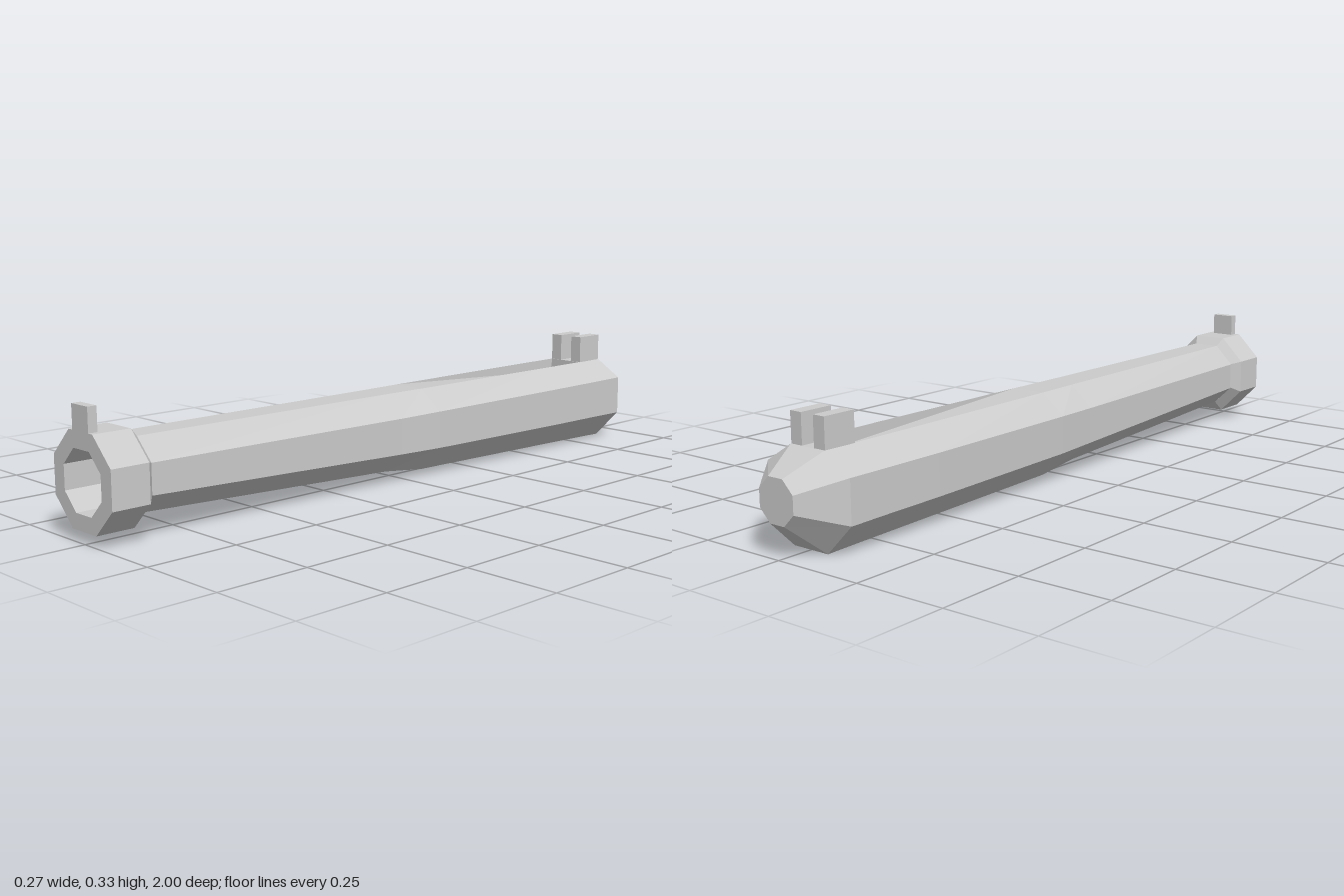
import * as THREE from 'three';

const grey = () => new THREE.MeshStandardMaterial({ color: 0xcccccc, flatShading: true, side: THREE.DoubleSide });

// Eight corners of one cross-section: half width, half flat width, four heights
function octagon([z, w, f, top, upper, lower, bottom]) {
  return [[f, top], [-f, top], [-w, upper], [-w, lower], [-f, bottom], [f, bottom], [w, lower], [w, upper]]
    .map(([x, y]) => [x, y, z]);
}

// Regular cross-section around a centre height
const regular = (z, r, cy, f = r * 0.414) => [z, r, f, cy + r, cy + f, cy - f, cy - r];

function meshFromQuads(name, quads) {
  const pos = [];
  for (const [a, b, c, d] of quads) pos.push(...a, ...b, ...c, ...a, ...c, ...d);
  const g = new THREE.BufferGeometry();
  g.setAttribute('position', new THREE.Float32BufferAttribute(pos, 3));
  g.computeVertexNormals();
  const mesh = new THREE.Mesh(g, grey());
  mesh.name = name;
  return mesh;
}

// Skin consecutive octagons; openTop(z) leaves the upper flat out
function loft(name, sections, openTop = () => false) {
  const rings = sections.map(octagon);
  const quads = [];
  for (let i = 0; i < rings.length - 1; i++) {
    for (let j = 0; j < 8; j++) {
      if (j === 0 && openTop(sections[i][0])) continue;
      const k = (j + 1) % 8;
      quads.push([rings[i][j], rings[i + 1][j], rings[i + 1][k], rings[i][k]]);
    }
  }
  return meshFromQuads(name, quads);
}

function box(name, w, h, d, x, y, z) {
  const mesh = new THREE.Mesh(new THREE.BoxGeometry(w, h, d), grey());
  mesh.position.set(x, y, z);
  mesh.name = name;
  return mesh;
}

export function createModel() {
  const group = new THREE.Group();
  group.name = 'barrel';

  // Muzzle collar with its bore, from the bore floor out and back over the rim
  group.add(loft('muzzle', [
    regular(0.6, 0, 0.149),
    regular(0.6, 0.078, 0.149),
    regular(1, 0.078, 0.149),
    regular(1, 0.12, 0.15),
    regular(0.895, 0.12, 0.15),
    regular(0.872, 0.094, 0.153),
  ]));

  // Tapered tube with a level top, swelling to the breech and closed by a bevelled cap
  group.add(loft('tube', [
    [0.872, 0.094, 0.039, 0.247, 0.191, 0.112, 0.06],
    [0.06, 0.113, 0.047, 0.247, 0.188, 0.088, 0.029],
    [-0.08, 0.121, 0.05, 0.247, 0.19, 0.086, 0.014],
    [-0.6, 0.135, 0.055, 0.247, 0.194, 0.084, 0.006],
    [-0.8, 0.136, 0.055, 0.247, 0.195, 0.083, 0.002],
    [-0.9, 0.137, 0.056, 0.247, 0.196, 0.082, 0],
    regular(-1, 0.056, 0.14),
    regular(-1, 0, 0.14),
  ], (z) => z < 0 && z > -0.75));

  // Shallow trough sloping down towards the rear sight
  const lip = [[-0.08, 0.05, 0.247], [-0.6, 0.055, 0.218], [-0.8, 0.055, 0.207]];
  const at = (i, s, floor) => [s * lip[i][1], floor ? lip[i][2] : 0.247, lip[i][0]];
  const trough = [[at(2, -1, true), at(2, 1, true), at(2, 1, false), at(2, -1, false)]];
  for (let i = 0; i < 2; i++) {
    trough.push(
      [at(i, 1, true), at(i + 1, 1, true), at(i + 1, -1, true), at(i, -1, true)],
      [at(i, 1, false), at(i + 1, 1, false), at(i + 1, 1, true), at(i, 1, true)],
      [at(i, -1, true), at(i + 1, -1, true), at(i + 1, -1, false), at(i, -1, false)],
    );
  }
  group.add(meshFromQuads('topTrough', trough));

  // Sights
  group.add(box('frontSight', 0.067, 0.073, 0.025, 0, 0.296, 0.9875));
  for (const s of [-1, 1]) {
    group.add(box(s > 0 ? 'rearSightLeft' : 'rearSightRight', 0.036, 0.095, 0.095, s * 0.038, 0.279, -0.85));
  }
  return group;
}
